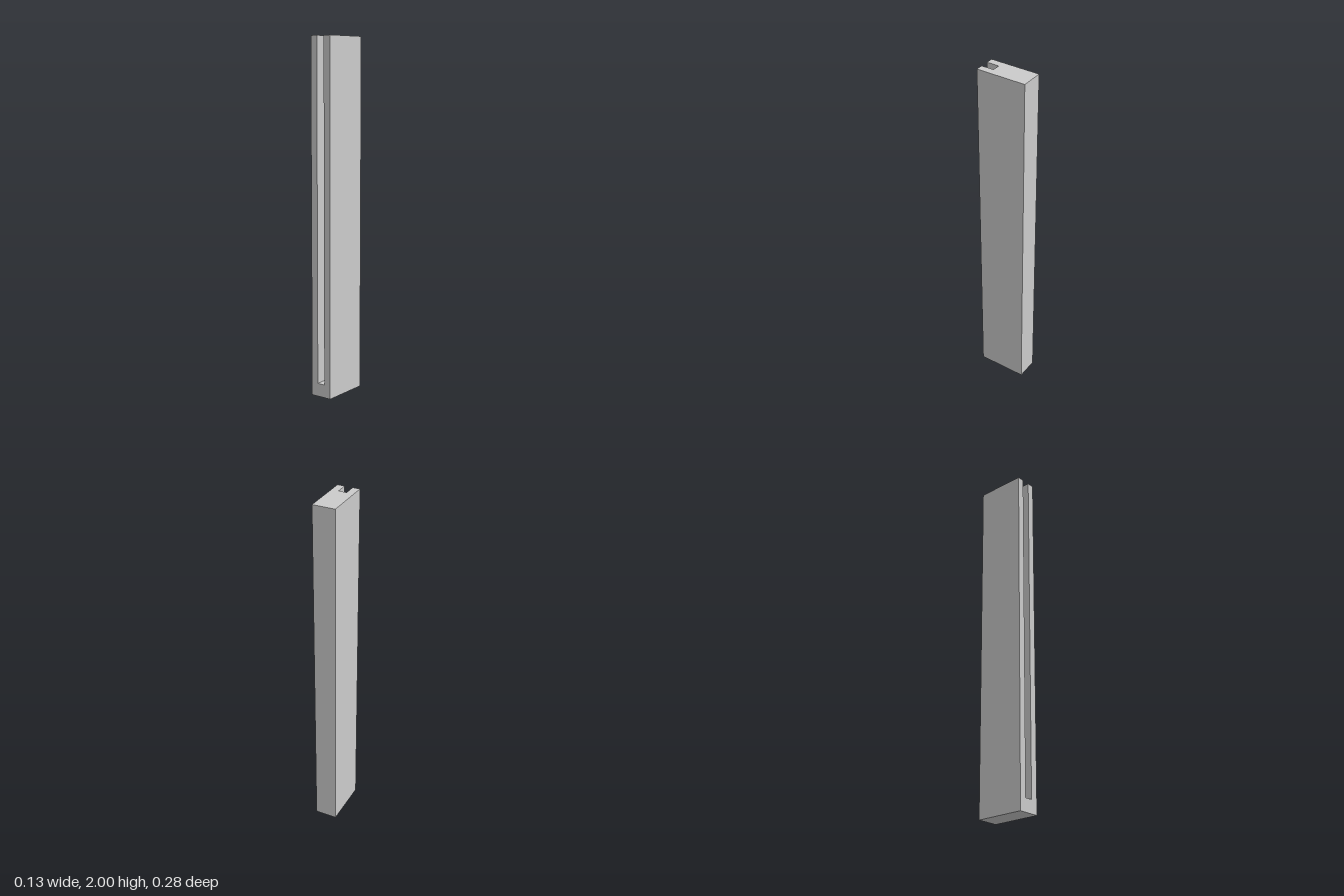
import * as THREE from 'three';

const HALF_W = 0.064, HALF_D = 0.142, HEIGHT = 2;
const SLOT_W = 0.023, SLOT_BACK = 0.07, SLOT_FLOOR = 0.075, FILLET = 0.003;

// Groove outline seen from above (shape y = -z), from front left to front right
function traceGroove(shape) {
  shape.lineTo(-SLOT_W, -SLOT_BACK - FILLET);
  shape.quadraticCurveTo(-SLOT_W, -SLOT_BACK, -SLOT_W + FILLET, -SLOT_BACK);
  shape.lineTo(SLOT_W - FILLET, -SLOT_BACK);
  shape.quadraticCurveTo(SLOT_W, -SLOT_BACK, SLOT_W, -SLOT_BACK - FILLET);
  shape.lineTo(SLOT_W, -HALF_D);
}

// Upright prism standing on y = 0
function prism(name, shape, height, material) {
  const geometry = new THREE.ExtrudeGeometry(shape, { depth: height, bevelEnabled: false, curveSegments: 4 });
  geometry.rotateX(-Math.PI / 2);
  const mesh = new THREE.Mesh(geometry, material);
  mesh.name = name;
  return mesh;
}

export function createModel() {
  const group = new THREE.Group();
  group.name = 'groovedPost';
  const material = new THREE.MeshStandardMaterial({ color: 0xcccccc });

  // Post with a groove along its front
  const post = new THREE.Shape();
  post.moveTo(-HALF_W, -HALF_D);
  post.lineTo(-SLOT_W, -HALF_D);
  traceGroove(post);
  post.lineTo(HALF_W, -HALF_D);
  post.lineTo(HALF_W, HALF_D);
  post.lineTo(-HALF_W, HALF_D);
  post.closePath();
  group.add(prism('post', post, HEIGHT, material));

  // Stop closing the groove at the foot
  const stop = new THREE.Shape();
  stop.moveTo(-SLOT_W, -HALF_D);
  traceGroove(stop);
  stop.closePath();
  group.add(prism('grooveStop', stop, SLOT_FLOOR, material));

  return group;
}
